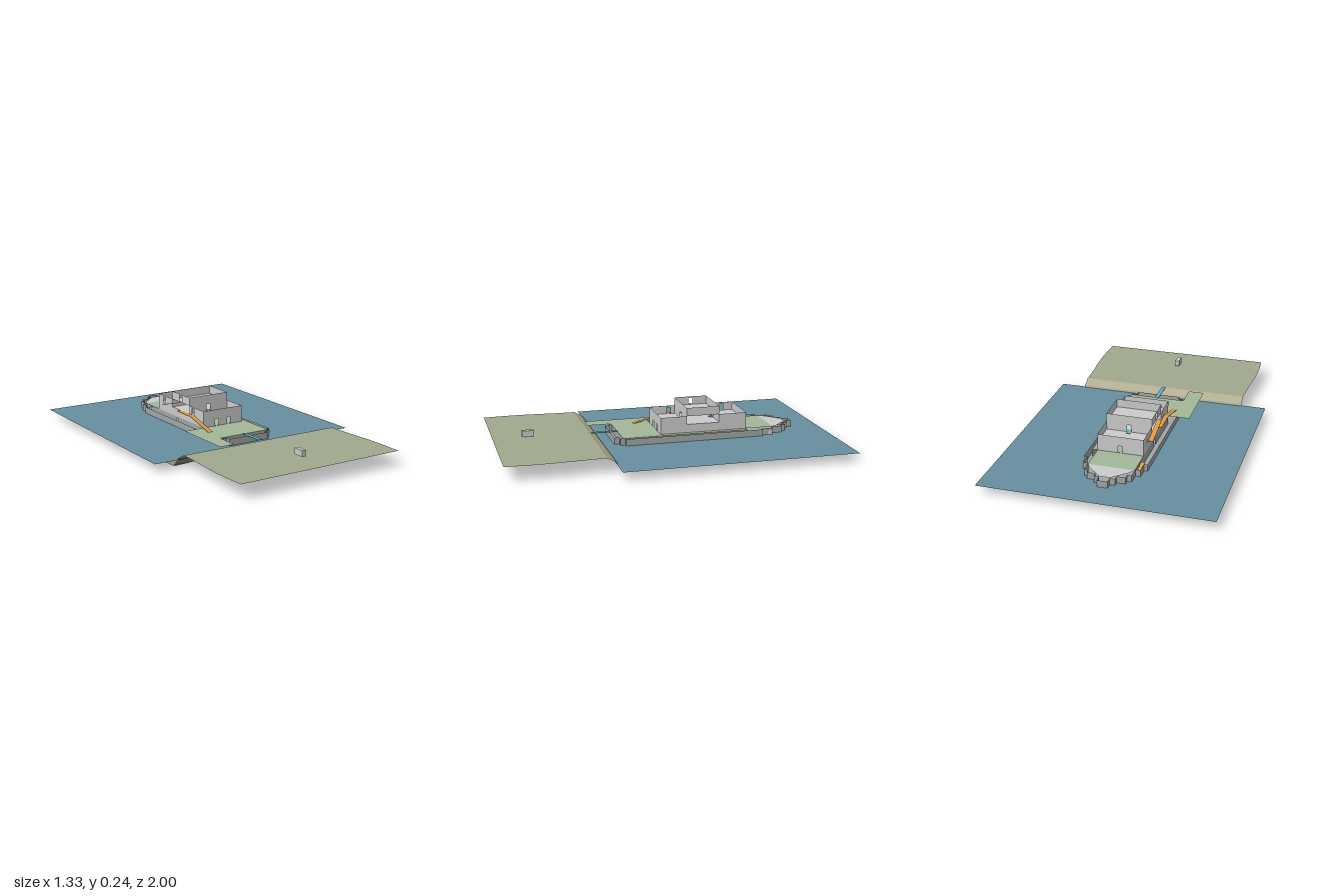
import * as THREE from 'three';

export function createModel() {
  const root = new THREE.Group();
  const mat = (color) => new THREE.MeshStandardMaterial({ color, side: THREE.DoubleSide, flatShading: true });
  const grey = mat(0xcccccc), hullMat = mat(0xa2a6a6), green = mat(0xa4b898), orange = mat(0xdc9a45);
  const blue = mat(0x5fb5c9), water = mat(0x678fa0), earth = mat(0xa0a88f), sand = mat(0xb0aa8c), bed = mat(0x8c8b7a);

  const add = (name, geo, m, x = 0, y = 0, z = 0) => {
    const mesh = new THREE.Mesh(geo, m);
    mesh.name = name;
    mesh.position.set(x, y, z);
    root.add(mesh);
    return mesh;
  };
  // Flat horizontal sheet from [x, z] corners, with optional hole
  const sheet = (name, pts, y, m, hole) => {
    const toV = (p) => p.map(([x, z]) => new THREE.Vector2(x, -z));
    const s = new THREE.Shape(toV(pts));
    if (hole) s.holes.push(new THREE.Path(toV(hole)));
    return add(name, new THREE.ShapeGeometry(s).rotateX(-Math.PI / 2), m, 0, y, 0);
  };
  const rect = (x0, x1, z0, z1) => [[x0, z0], [x1, z0], [x1, z1], [x0, z1]];
  // Vertical wall from a to b; doors are [centre along wall, width, bottom, top]
  const wall = (name, a, b, y0, y1, m, doors = []) => {
    const dx = b[0] - a[0], dz = b[1] - a[1], len = Math.hypot(dx, dz);
    const box = (x0, x1, b0, b1) => [[x0, b0], [x1, b0], [x1, b1], [x0, b1]].map((p) => new THREE.Vector2(...p));
    const s = new THREE.Shape(box(0, len, 0, y1 - y0));
    doors.forEach(([c, w, d0, d1]) =>
      s.holes.push(new THREE.Path(box(c - w / 2, c + w / 2, d0 - y0 + 0.001, d1 - y0))));
    add(name, new THREE.ShapeGeometry(s), m, a[0], y0, a[1]).rotation.y = Math.atan2(-dz, dx);
  };
  // Sloping strip between two heights along z
  const ramp = (name, x, w, z0, y0, z1, y1, m) => {
    const mesh = add(name, new THREE.BoxGeometry(w, 0.003, Math.hypot(z1 - z0, y1 - y0)), m,
      x, (y0 + y1) / 2, (z0 + z1) / 2);
    mesh.rotation.x = -Math.atan2(y1 - y0, z1 - z0);
  };

  // Ground: strips across a bed, bank, beach and land profile, with wavy sides
  const ground = (name, z0, y0, z1, y1, m, nz, wave = 0) => {
    const g = new THREE.PlaneGeometry(2, 1, 24, nz).rotateX(-Math.PI / 2);
    const p = g.attributes.position;
    for (let i = 0; i < p.count; i++) {
      const t = p.getZ(i) + 0.5, u = p.getX(i), z = z0 + (z1 - z0) * t;
      const half = 0.523 + 0.009 * Math.sin((z - 0.62) * 8);
      const ripple = wave * Math.sin(u * 8);
      p.setXYZ(i, u * half, y0 + (y1 - y0) * t + ripple, z);
    }
    g.computeVertexNormals();
    add(name, g, m);
  };
  ground('seabed', -0.86, 0.005, 0.33, 0.005, bed, 24, 0.004);
  ground('bank', 0.33, 0.006, 0.38, 0.06, bed, 2);
  ground('beach', 0.38, 0.06, 0.43, 0.088, sand, 2);
  ground('shore', 0.43, 0.088, 1, 0.088, earth, 16);

  // Stepped hull outline, mirrored about x
  const side = [[0.03, -0.83], [0.03, -0.79], [0.06, -0.79], [0.06, -0.76], [0.11, -0.76], [0.11, -0.73],
    [0.135, -0.73], [0.135, -0.66], [0.165, -0.66], [0.165, -0.59], [0.185, -0.59], [0.185, 0.25],
    [0.165, 0.25], [0.165, 0.28], [0.135, 0.28], [0.135, 0.31]];
  const outline = [...side, ...side.map(([x, z]) => [-x, z]).reverse()];
  sheet('water', rect(-0.665, 0.665, -1, 0.38), 0.05, water, outline);
  sheet('hullFloor', outline, 0.04, hullMat);
  outline.forEach((a, i) => {
    const b = outline[(i + 1) % outline.length];
    wall('hullWall', a, b, 0.01, 0.09, hullMat);
  });
  add('hullHatch', new THREE.BoxGeometry(0.004, 0.04, 0.03), grey, 0.166, 0.06, -0.645);
  wall('innerHullLeft', [0.165, -0.5], [0.165, 0.26], 0.04, 0.09, hullMat);
  wall('innerHullRight', [-0.135, -0.67], [-0.135, 0.03], 0.04, 0.09, hullMat,
    [[0.06, 0.024, 0.04, 0.08], [0.4, 0.024, 0.04, 0.08]]);
  wall('innerHullStern', [-0.165, 0.26], [0.165, 0.26], 0.04, 0.09, hullMat);

  // Decks, quay and bow plate
  sheet('foredeck', rect(-0.135, 0.135, -0.67, -0.5), 0.09, green);
  sheet('mainDeck', rect(-0.135, 0.135, -0.5, 0.03), 0.09, green);
  sheet('sideDeck', rect(0.135, 0.165, -0.5, 0.03), 0.09, green);
  sheet('afterDeck', rect(-0.17, 0.165, 0.03, 0.265), 0.09, green);
  sheet('quay', rect(-0.265, -0.17, 0.03, 0.41), 0.09, green);
  sheet('bowPlate', [[-0.135, -0.67], [-0.11, -0.71], [-0.03, -0.785], [0.03, -0.785], [0.11, -0.71],
    [0.135, -0.67]], 0.09, grey);
  add('gangway', new THREE.BoxGeometry(0.024, 0.003, 0.16), blue, 0, 0.091, 0.34);

  // Deckhouse: two end blocks with open terraces, and a raised middle block
  const X = 0.135, zs = [0.03, -0.13, -0.33, -0.5];
  const pair = [[-0.042, 0.024], [0.042, 0.024]];
  const single = [[0, 0.026]];
  const cross = (name, z, y0, y1, doors, floor) =>
    wall(name, [-X, z], [X, z], y0, y1, grey, doors.map(([x, w]) => [x + X, w, floor, floor + 0.043]));
  cross('aftFacade', zs[0], 0.09, 0.19, pair, 0.09);
  cross('foreFacade', zs[3], 0.09, 0.19, single, 0.09);
  cross('middleAftWall', zs[1], 0.09, 0.24, single, 0.14);
  cross('middleForeWall', zs[2], 0.09, 0.24, single, 0.14);
  for (const s of [1, -1]) {
    const x = s * X, right = s < 0;
    wall('aftSideWall', [x, zs[0]], [x, zs[1]], 0.09, 0.19, grey, right ? [[0.12, 0.026, 0.14, 0.18]] : []);
    wall('middleLowerSideWall', [x, zs[1]], [x, zs[2]], 0.09, 0.14, grey);
    wall('middleUpperSideWall', [x, zs[1]], [x, zs[2]], 0.19, 0.24, grey, right ? [[0.1, 0.026, 0.19, 0.23]] : []);
    wall('foreSideWall', [x, zs[2]], [x, zs[3]], 0.09, 0.19, grey, right ? [[0.1, 0.026, 0.14, 0.18]] : []);
  }
  sheet('terraceFloor', rect(-X, X, zs[3], zs[0]), 0.14, grey);
  sheet('upperFloor', rect(-X, X, zs[2], zs[1]), 0.19, grey);
  for (const z of [zs[1], zs[2]])
    add('doorBridge', new THREE.BoxGeometry(0.024, 0.003, 0.05), blue, 0, 0.142, z);

  // Outside ramps along one flank
  const rx = -0.151, rw = 0.028;
  ramp('lowerRamp', rx, rw, 0.13, 0.09, -0.07, 0.14, orange);
  ramp('walkway', rx, rw, -0.07, 0.14, -0.23, 0.14, orange);
  ramp('upperRamp', rx, rw, -0.23, 0.19, -0.41, 0.14, orange);
  ramp('holdRamp', rx, 0.024, -0.57, 0.09, -0.65, 0.065, orange);

  // Small kiosk on the shore
  add('kiosk', new THREE.BoxGeometry(0.027, 0.035, 0.07), grey, 0, 0.117, 0.797);
  return root;
}
